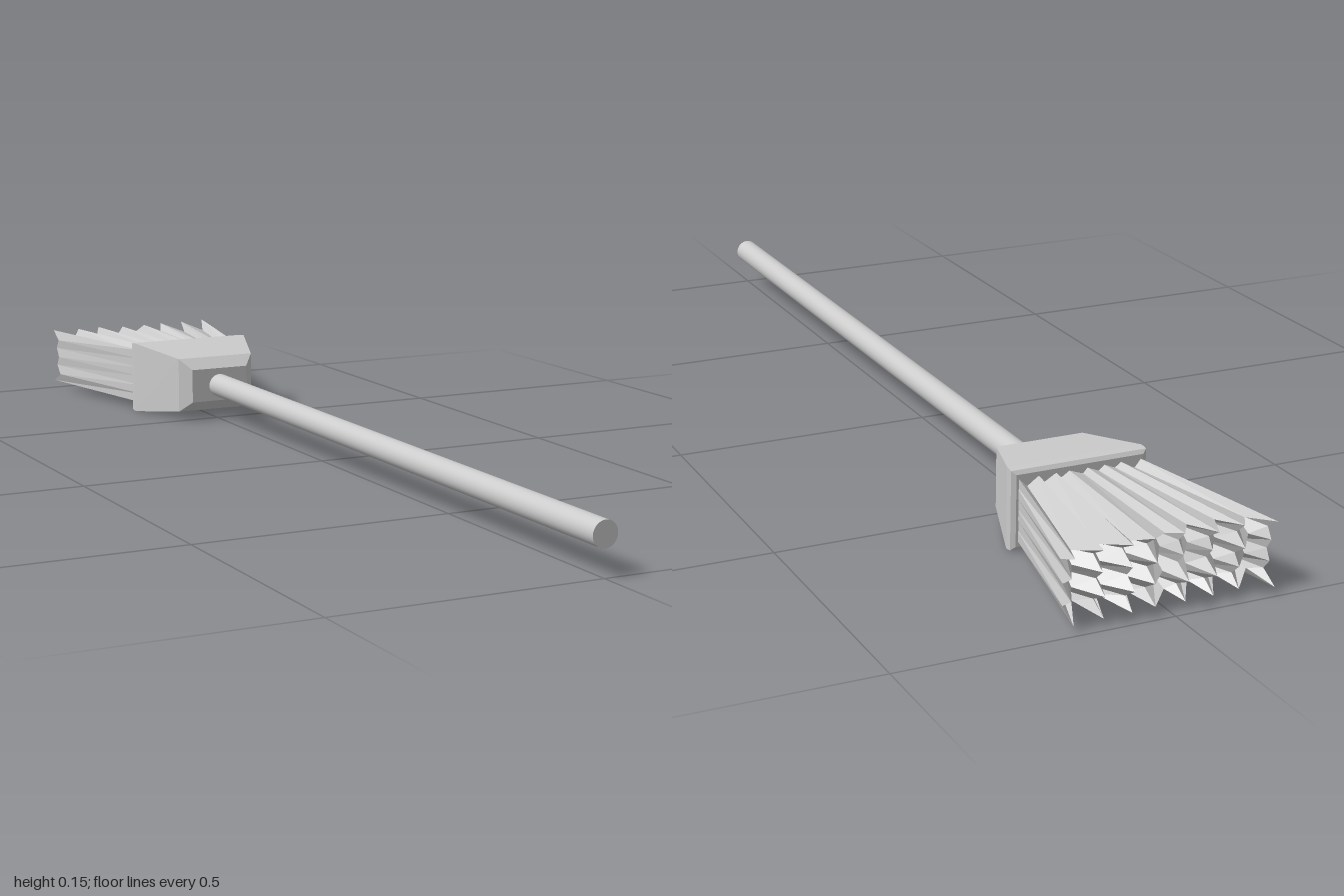
import * as THREE from 'three';

const MID_Y = 0.075;

// Box lofted through [z, halfWidth, halfHeight] sections running from front to back;
// adjust(point, column, row, section) may displace each vertex.
function loft(sections, cols, rows, adjust = () => {}) {
  const depth = sections.length - 1;
  const geo = new THREE.BoxGeometry(2, 2, 2, cols, rows, depth);
  const pos = geo.attributes.position;
  const p = new THREE.Vector3();
  for (let n = 0; n < pos.count; n++) {
    p.fromBufferAttribute(pos, n);
    const k = Math.round((1 - p.z) / 2 * depth);
    const col = Math.round((p.x + 1) / 2 * cols);
    const row = Math.round((p.y + 1) / 2 * rows);
    const [z, w, h] = sections[k];
    p.set(p.x * w, MID_Y + p.y * h, z);
    adjust(p, col, row, k);
    pos.setXYZ(n, p.x, p.y, p.z);
  }
  const flat = geo.toNonIndexed();
  flat.computeVertexNormals();
  return flat;
}

// Repeatable noise in 0..1 for a grid point
function noise(a, b) {
  const s = Math.sin(a * 12.9898 + b * 78.233) * 43758.5453;
  return s - Math.floor(s);
}

export function createModel() {
  const broom = new THREE.Group();
  broom.name = 'broom';
  const flatMat = new THREE.MeshStandardMaterial({ color: 0xcccccc, flatShading: true });
  const smoothMat = new THREE.MeshStandardMaterial({ color: 0xcccccc });

  // Long round handle, its end sunk into the head
  const handle = new THREE.Mesh(new THREE.CylinderGeometry(0.024, 0.024, 1.52, 32), smoothMat);
  handle.name = 'handle';
  handle.rotation.x = Math.PI / 2;
  handle.position.set(0, 0.073, 0.24);
  broom.add(handle);

  // Flared head with bevelled front and back rims
  const head = new THREE.Mesh(loft([
    [-0.487, 0.063, 0.035],
    [-0.51, 0.085, 0.057],
    [-0.645, 0.13, 0.075],
    [-0.66, 0.13, 0.073],
    [-0.665, 0.122, 0.066],
  ], 1, 1), flatMat);
  head.name = 'head';
  broom.add(head);

  // Fanned, pleated bristles with ragged ends
  const cols = 14, rows = 6;
  const bristles = new THREE.Mesh(loft([
    [-0.64, 0.112, 0.058],
    [-1, 0.185, 0.058],
  ], cols, rows, (p, col, row, k) => {
    const edgeCol = col === 0 || col === cols;
    const edgeRow = row === 0 || row === rows;
    // Pleats along the broad faces, uneven in width
    if (edgeRow && col % 2) p.y += (row ? -1 : 1) * (0.008 + 0.008 * noise(col, row));
    if (!edgeCol) p.x += (noise(col, 7) - 0.5) * 0.012;
    // Teeth cut into the far end
    if (k === 1 && !(edgeCol && edgeRow)) {
      p.z += (col % 2 ? 0.05 : 0) + (row % 2 ? 0.03 : 0) + 0.022 * noise(col + 3, row + 1);
    }
  }), flatMat);
  bristles.name = 'bristles';
  broom.add(bristles);

  return broom;
}
